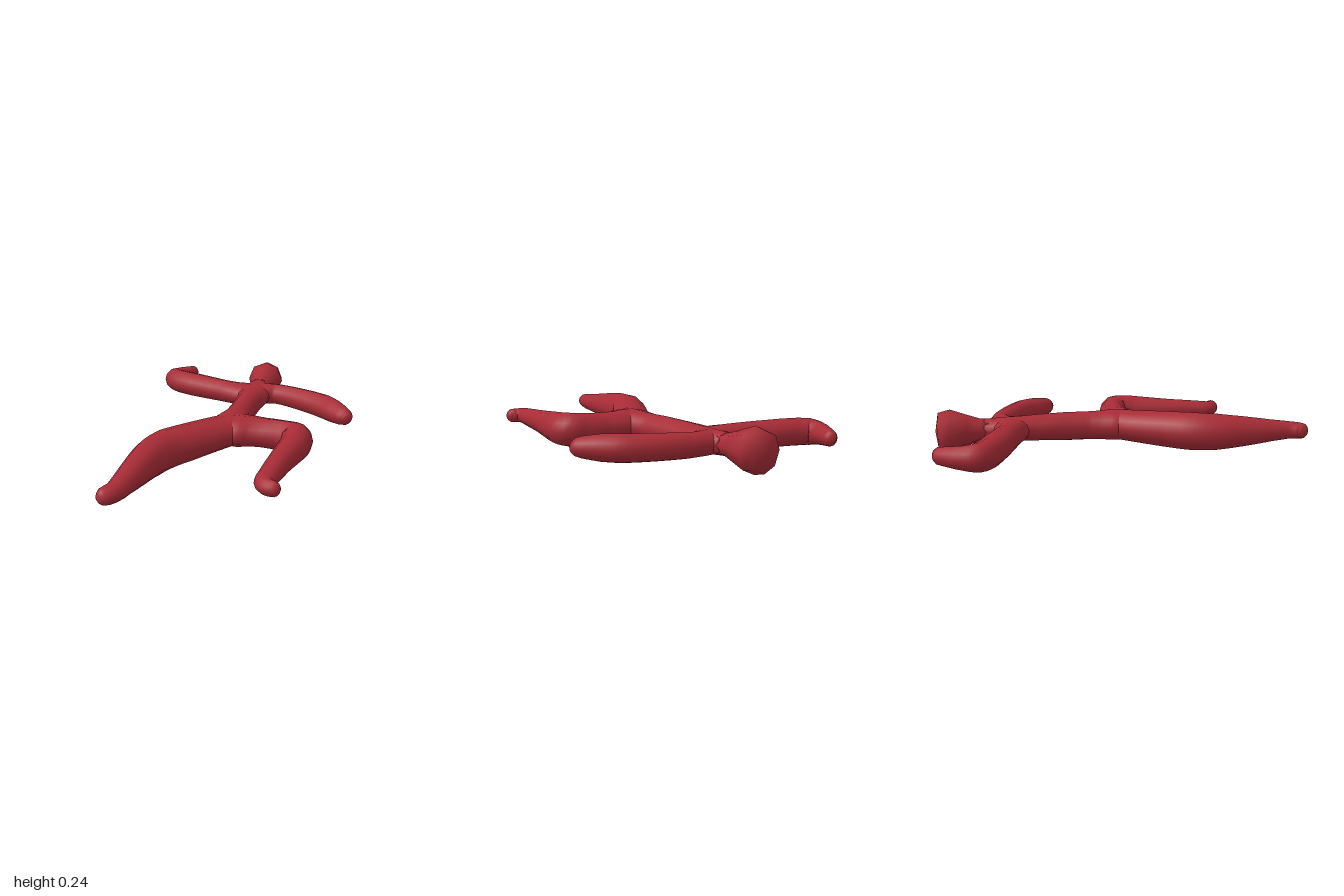
import * as THREE from 'three';

const MID = 0.118; // height of the figure's middle plane

// Lofts elliptical rings along a path lying in the middle plane.
// Stations: [x, z, half width, half height]; tip: how far the end cap bulges.
function loft(stations, { sides = 12, steps = 4, tip = 0.01 } = {}) {
  const path = new THREE.CatmullRomCurve3(stations.map(s => new THREE.Vector3(s[0], 0, s[1])), false, 'centripetal');
  const spans = stations.length - 1;
  const count = spans * steps;
  const pos = [], index = [];
  for (let i = 0; i <= count; i++) {
    const u = i / count;
    const k = Math.min(Math.floor(u * spans), spans - 1);
    const f = u * spans - k;
    const w = THREE.MathUtils.lerp(stations[k][2], stations[k + 1][2], f);
    const h = THREE.MathUtils.lerp(stations[k][3], stations[k + 1][3], f);
    const c = path.getPoint(u), t = path.getTangent(u);
    for (let j = 0; j < sides; j++) {
      const a = j / sides * Math.PI * 2;
      pos.push(c.x + t.z * Math.cos(a) * w, MID + Math.sin(a) * h, c.z - t.x * Math.cos(a) * w);
    }
  }
  for (let i = 0; i < count; i++) {
    for (let j = 0; j < sides; j++) {
      const a = i * sides + j, b = i * sides + (j + 1) % sides;
      index.push(a, b, a + sides, b, b + sides, a + sides);
    }
  }
  // End caps
  const p0 = path.getPoint(0), p1 = path.getPoint(1), t1 = path.getTangent(1);
  const start = pos.length / 3, last = count * sides;
  pos.push(p0.x, MID, p0.z, p1.x + t1.x * tip, MID, p1.z + t1.z * tip);
  for (let j = 0; j < sides; j++) {
    const n = (j + 1) % sides;
    index.push(n, j, start, last + j, last + n, start + 1);
  }
  const g = new THREE.BufferGeometry();
  g.setAttribute('position', new THREE.Float32BufferAttribute(pos, 3));
  g.setIndex(index);
  g.computeVertexNormals();
  return g;
}

export function createModel() {
  const group = new THREE.Group();
  const red = new THREE.MeshStandardMaterial({ color: 0xa82c36 });
  const add = (name, stations, options) => {
    const mesh = new THREE.Mesh(loft(stations, options), red);
    mesh.name = name;
    group.add(mesh);
  };

  // Faceted head widening from the neck to a nearly flat crown
  add('head', [
    [0, -0.7, 0.07, 0.06], [0, -0.76, 0.062, 0.062], [0, -0.83, 0.084, 0.086],
    [0, -0.92, 0.113, 0.118], [0, -0.983, 0.1, 0.102],
  ], { sides: 8, steps: 1, tip: 0.017 });

  add('torso', [
    [0, 0.12, 0.07, 0.06], [0, 0.06, 0.12, 0.085], [0, -0.03, 0.12, 0.087], [0, -0.1, 0.095, 0.082],
    [0, -0.17, 0.077, 0.08], [0, -0.3, 0.075, 0.08], [0, -0.45, 0.083, 0.074],
    [0, -0.54, 0.1, 0.068], [0, -0.62, 0.105, 0.066], [0, -0.69, 0.08, 0.062], [0, -0.74, 0.062, 0.06],
  ]);

  // Bent arm reaching up past the head
  add('rightArm', [
    [0.03, -0.6, 0.09, 0.06], [-0.06, -0.595, 0.105, 0.066], [-0.13, -0.602, 0.082, 0.068],
    [-0.21, -0.622, 0.072, 0.07], [-0.42, -0.69, 0.08, 0.075], [-0.53, -0.73, 0.075, 0.075],
    [-0.592, -0.775, 0.07, 0.072], [-0.585, -0.84, 0.055, 0.06], [-0.548, -0.91, 0.047, 0.05],
    [-0.52, -0.96, 0.037, 0.042], [-0.513, -0.978, 0.02, 0.026],
  ]);

  // Arm sweeping out and down
  add('leftArm', [
    [-0.03, -0.62, 0.09, 0.06], [0.06, -0.64, 0.085, 0.064], [0.12, -0.648, 0.062, 0.064],
    [0.19, -0.632, 0.058, 0.066], [0.35, -0.56, 0.067, 0.07], [0.46, -0.493, 0.073, 0.072],
    [0.53, -0.425, 0.068, 0.068], [0.59, -0.36, 0.056, 0.055], [0.612, -0.335, 0.046, 0.045],
    [0.626, -0.317, 0.026, 0.026],
  ]);

  // Leg raised sideways, with the shin dropping from the knee
  add('leftLeg', [
    [-0.03, 0.02, 0.12, 0.08], [0.05, 0.015, 0.13, 0.087], [0.12, 0.008, 0.108, 0.084],
    [0.2, 0.013, 0.088, 0.083], [0.31, 0.03, 0.076, 0.088], [0.385, 0.065, 0.092, 0.093],
    [0.396, 0.15, 0.084, 0.088], [0.383, 0.25, 0.076, 0.078], [0.36, 0.4, 0.064, 0.064],
    [0.343, 0.55, 0.056, 0.053], [0.336, 0.63, 0.05, 0.046], [0.36, 0.668, 0.042, 0.042],
    [0.4, 0.678, 0.037, 0.04], [0.418, 0.674, 0.022, 0.026],
  ]);

  // Long trailing leg
  add('rightLeg', [
    [0.04, -0.06, 0.08, 0.07], [0, 0.02, 0.115, 0.085], [-0.07, 0.11, 0.118, 0.09],
    [-0.17, 0.25, 0.111, 0.1], [-0.25, 0.37, 0.106, 0.105], [-0.288, 0.5, 0.097, 0.1],
    [-0.3, 0.65, 0.08, 0.082], [-0.306, 0.8, 0.064, 0.06], [-0.312, 0.89, 0.055, 0.049],
    [-0.332, 0.942, 0.052, 0.045], [-0.352, 0.967, 0.038, 0.041], [-0.363, 0.978, 0.022, 0.026],
  ]);

  return group;
}
